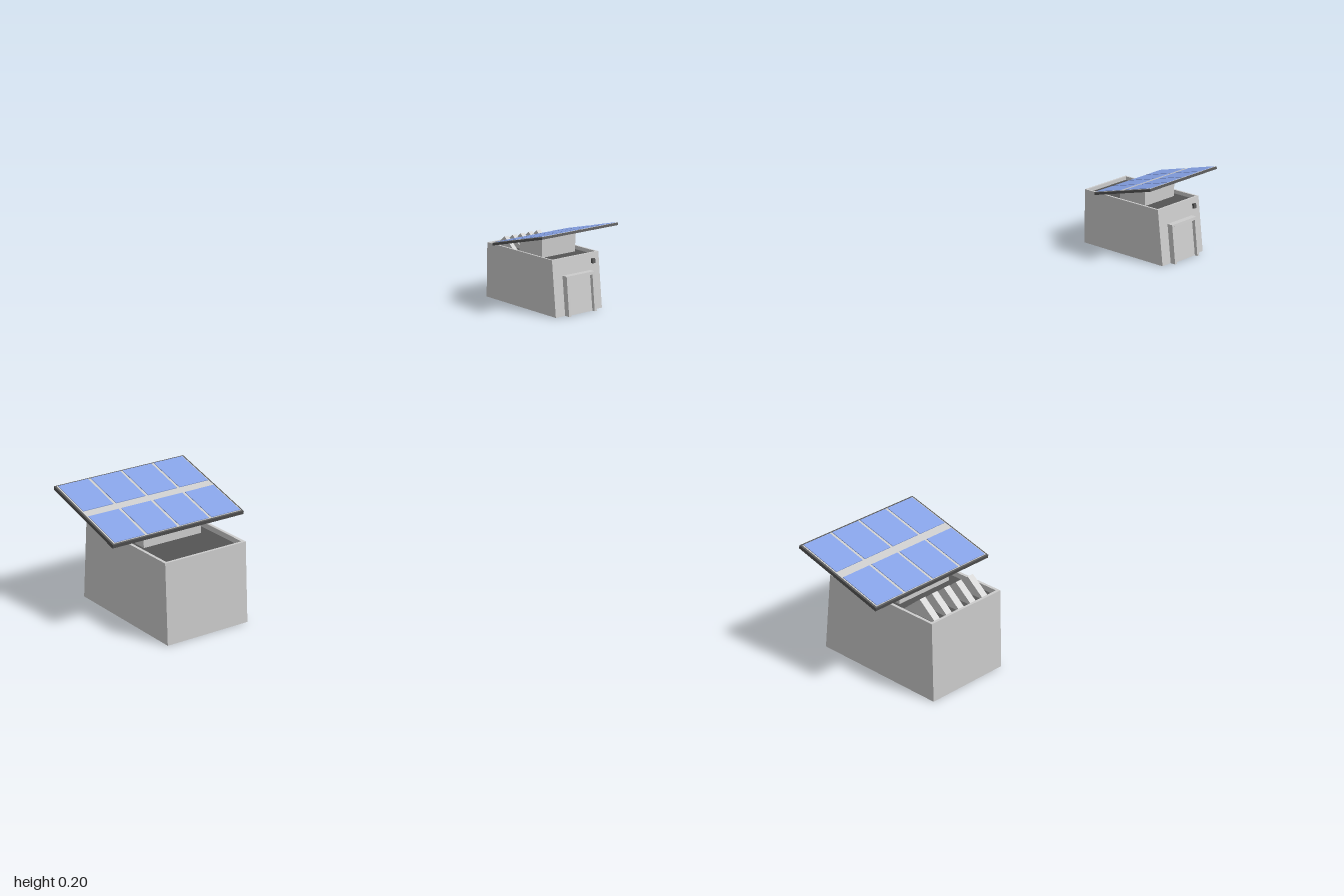
import * as THREE from 'three';

const grey = new THREE.MeshStandardMaterial({ color: 0xcccccc });
const dark = new THREE.MeshStandardMaterial({ color: 0x555555 });
const blue = new THREE.MeshStandardMaterial({ color: 0x86a2e6 });

// Extrude a (z, y) side profile along x, centred on the given x
function sideProfile(name, points, width, x = 0, material = grey) {
  const shape = new THREE.Shape(points.map(([z, y]) => new THREE.Vector2(z, y)));
  const geo = new THREE.ExtrudeGeometry(shape, { depth: width, bevelEnabled: false });
  geo.translate(0, 0, -width / 2);
  geo.rotateY(-Math.PI / 2);
  const mesh = new THREE.Mesh(geo, material);
  mesh.name = name;
  mesh.position.x = x;
  return mesh;
}

function box(name, size, position, material = grey) {
  const mesh = new THREE.Mesh(new THREE.BoxGeometry(...size), material);
  mesh.name = name;
  mesh.position.set(...position);
  return mesh;
}

// Hollow hut with an open underside, a slanted front and a sunken roof
function createBody() {
  const g = new THREE.Group();
  g.name = 'body';
  const w = 0.15, t = 0.005, h = 0.137, back = -0.643;
  for (const s of [-1, 1]) {
    g.add(sideProfile('sideWall', [[back, 0], [-0.391, 0], [-0.409, h], [back, h]], t, s * (w - t) / 2));
  }
  const inner = w - 2 * t;
  g.add(sideProfile('frontWall', [[-0.391 - t, 0], [-0.391, 0], [-0.409, h], [-0.409 - t, h]], inner));
  g.add(sideProfile('backWall', [[back, 0], [back + t, 0], [back + t, h], [back, h]], inner));
  g.add(sideProfile('roof', [[back + t, 0.124], [-0.412, 0.124], [-0.412, 0.128], [back + t, 0.128]], inner, 0, dark));
  return g;
}

// Thin projecting frame around a recessed door, leaning with the wall
function createDoorway() {
  const g = new THREE.Group();
  g.name = 'doorway';
  const w = 0.09, t = 0.007;
  for (const s of [-1, 1]) {
    g.add(sideProfile('doorJamb', [[-0.394, 0], [-0.377, 0], [-0.389, 0.096], [-0.406, 0.096]], t, s * (w - t) / 2));
  }
  g.add(sideProfile('doorLintel', [[-0.405, 0.089], [-0.388, 0.089], [-0.389, 0.096], [-0.406, 0.096]], w - 2 * t));
  g.add(sideProfile('door', [[-0.394, 0], [-0.385, 0], [-0.397, 0.089], [-0.405, 0.089]], w - 2 * t));
  const keypad = sideProfile('wallLamp', [[-0.409, 0.112], [-0.4, 0.112], [-0.402, 0.123], [-0.409, 0.123]], 0.009, 0.054, dark);
  g.add(keypad);
  return g;
}

// Tilted panel: dark tray, pale dividers, two rows of four cells
function createPanel() {
  const g = new THREE.Group();
  g.name = 'solarPanel';
  const w = 0.245, d = 0.182;
  g.add(box('panelTray', [w, 0.006, d], [0, 0, 0], dark));
  g.add(box('panelDividers', [w - 0.006, 0.001, d - 0.006], [0, 0.0033, 0]));
  const cw = 0.055, cd = 0.079;
  for (let c = 0; c < 4; c++) {
    for (const s of [-1, 1]) {
      g.add(box('solarCell', [cw, 0.0016, cd], [(c - 1.5) * 0.06, 0.004, s * 0.0475], blue));
    }
  }
  g.position.set(0, 0.1765, -0.481);
  g.rotation.x = -0.262;
  return g;
}

function createHut(name, withFins) {
  const g = new THREE.Group();
  g.name = name;
  g.add(createBody(), createDoorway(), createPanel());
  // Wedge that carries the panel
  g.add(sideProfile('panelBase', [[-0.548, 0.126], [-0.468, 0.126], [-0.468, 0.178], [-0.548, 0.156]], 0.108));
  // Row of triangular fins at the back of the roof
  if (withFins) {
    for (let i = -2; i <= 2; i++) {
      g.add(sideProfile('roofFin', [[-0.636, 0.127], [-0.562, 0.127], [-0.599, 0.157]], 0.012, i * 0.026));
    }
  }
  g.position.x = 0.8775;
  return g;
}

export function createModel() {
  const model = new THREE.Group();
  model.name = 'hutPair';
  model.add(createHut('leftHut', true));
  // The second hut stands opposite, turned half round the centre
  const turned = new THREE.Group();
  turned.name = 'rightHutTurn';
  turned.rotation.y = Math.PI;
  turned.add(createHut('rightHut', false));
  model.add(turned);
  return model;
}
